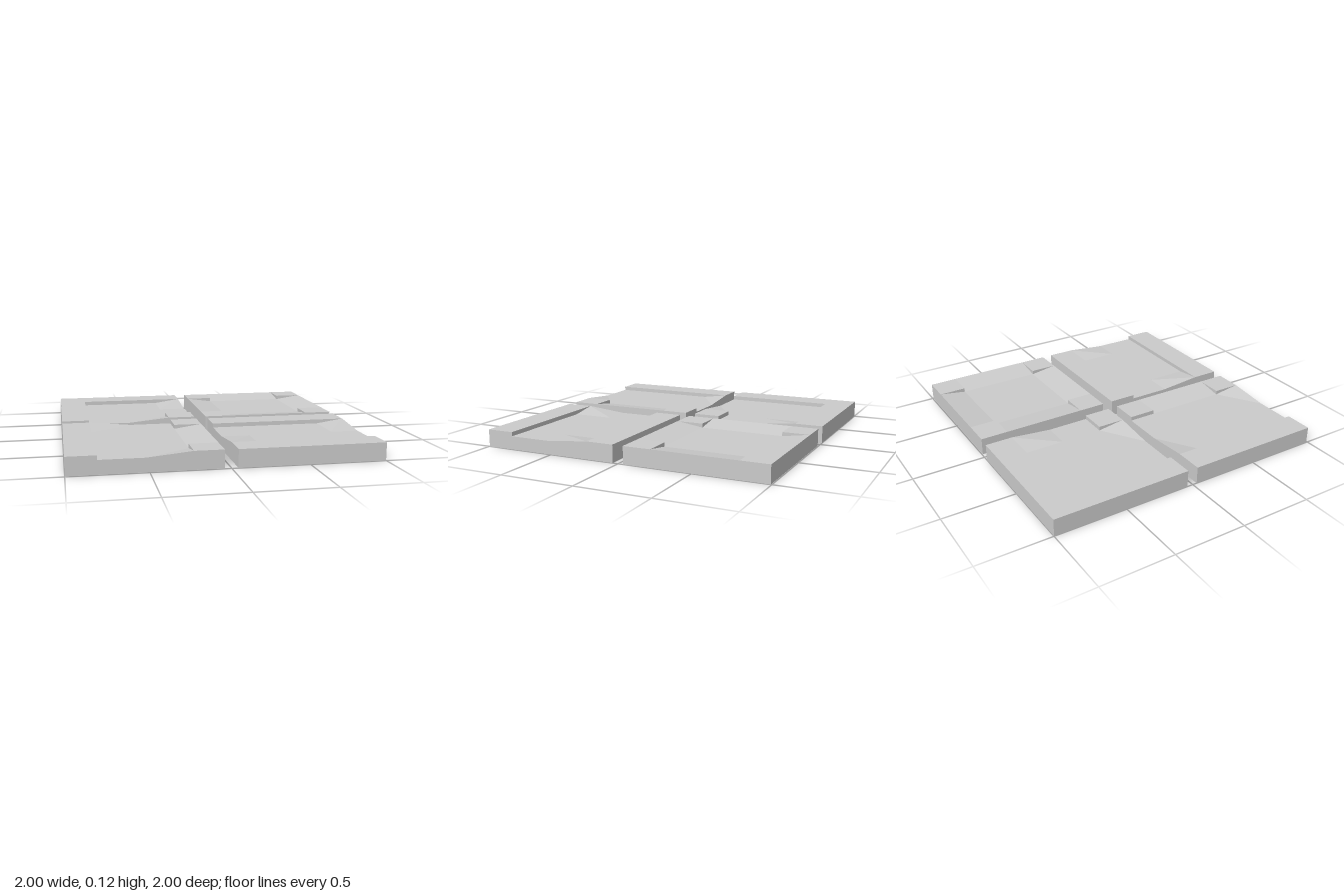
import * as THREE from 'three';

const HIGH = 0.118, LOW = 0.09;
const GRID = [-0.479, -0.289, 0, 0.289, 0.479]; // cell lines of one tile

// End profiles of a channel, left to right when looking out of the tile
const TWIST = [HIGH, LOW, LOW];
const FLUSH = [HIGH, HIGH, HIGH];

// Cell corners counter-clockwise from above, and the neighbour across each side (S, E, N, W)
const RING = [[0, 1], [1, 1], [1, 0], [0, 0]];
const NEXT = [[0, 1], [1, 0], [0, -1], [-1, 0]];

// A slab with a sunken channel; ends maps each open side to its profile
function tileGeometry(ends) {
  const floor = GRID.map(() => GRID.map(() => LOW));
  for (let k = 0; k < 3; k++) {
    if (ends.e) floor[4][k + 1] = ends.e[k];
    if (ends.n) floor[k + 1][0] = ends.n[k];
    if (ends.w) floor[0][3 - k] = ends.w[k];
    if (ends.s) floor[3 - k][4] = ends.s[k];
  }
  // Corners and closed sides stay raised
  const raised = (i, j) => {
    const edgeX = i === 0 || i === 3, edgeZ = j === 0 || j === 3;
    if (edgeX && edgeZ) return true;
    if (edgeX) return !ends[i === 0 ? 'w' : 'e'];
    if (edgeZ) return !ends[j === 0 ? 'n' : 's'];
    return false;
  };
  const height = (i, j, a, b) => {
    if (i < 0 || j < 0 || i > 3 || j > 3) return 0;
    return raised(i, j) ? HIGH : floor[a][b];
  };

  const pos = [];
  const quad = (a, b, c, d) => pos.push(...a, ...b, ...c, ...a, ...c, ...d);
  for (let i = 0; i < 4; i++) {
    for (let j = 0; j < 4; j++) {
      const nodes = RING.map(([u, v]) => [i + u, j + v]);
      const top = nodes.map(([a, b]) => [GRID[a], height(i, j, a, b), GRID[b]]);
      quad(...top);
      // Walls down to a lower neighbour or to the ground
      NEXT.forEach(([di, dj], k) => {
        const m = (k + 1) % 4;
        const below = (n) => [top[n][0], height(i + di, j + dj, ...nodes[n]), top[n][2]];
        const p = below(k), q = below(m);
        if (p[1] < top[k][1] || q[1] < top[m][1]) quad(p, q, top[m], top[k]);
      });
    }
  }
  // Underside
  const s = GRID[4];
  quad([-s, 0, -s], [s, 0, -s], [s, 0, s], [-s, 0, s]);

  const geometry = new THREE.BufferGeometry();
  geometry.setAttribute('position', new THREE.Float32BufferAttribute(pos, 3));
  geometry.computeVertexNormals();
  return geometry;
}

export function createModel() {
  const group = new THREE.Group();
  group.name = 'pathTiles';
  const material = new THREE.MeshStandardMaterial({ color: 0xcccccc, flatShading: true });
  const tiles = [
    ['cornerTile', -0.521, -0.521, { e: TWIST, s: TWIST }],
    ['crossingTile', 0.521, -0.515, { e: FLUSH, n: FLUSH, w: FLUSH, s: FLUSH }],
    ['junctionTile', -0.521, 0.51, { n: TWIST, s: TWIST, e: FLUSH }],
    ['straightTile', 0.521, 0.517, { e: TWIST, w: TWIST }],
  ];
  for (const [name, x, z, ends] of tiles) {
    const mesh = new THREE.Mesh(tileGeometry(ends), material);
    mesh.name = name;
    mesh.position.set(x, 0, z);
    group.add(mesh);
  }
  return group;
}
